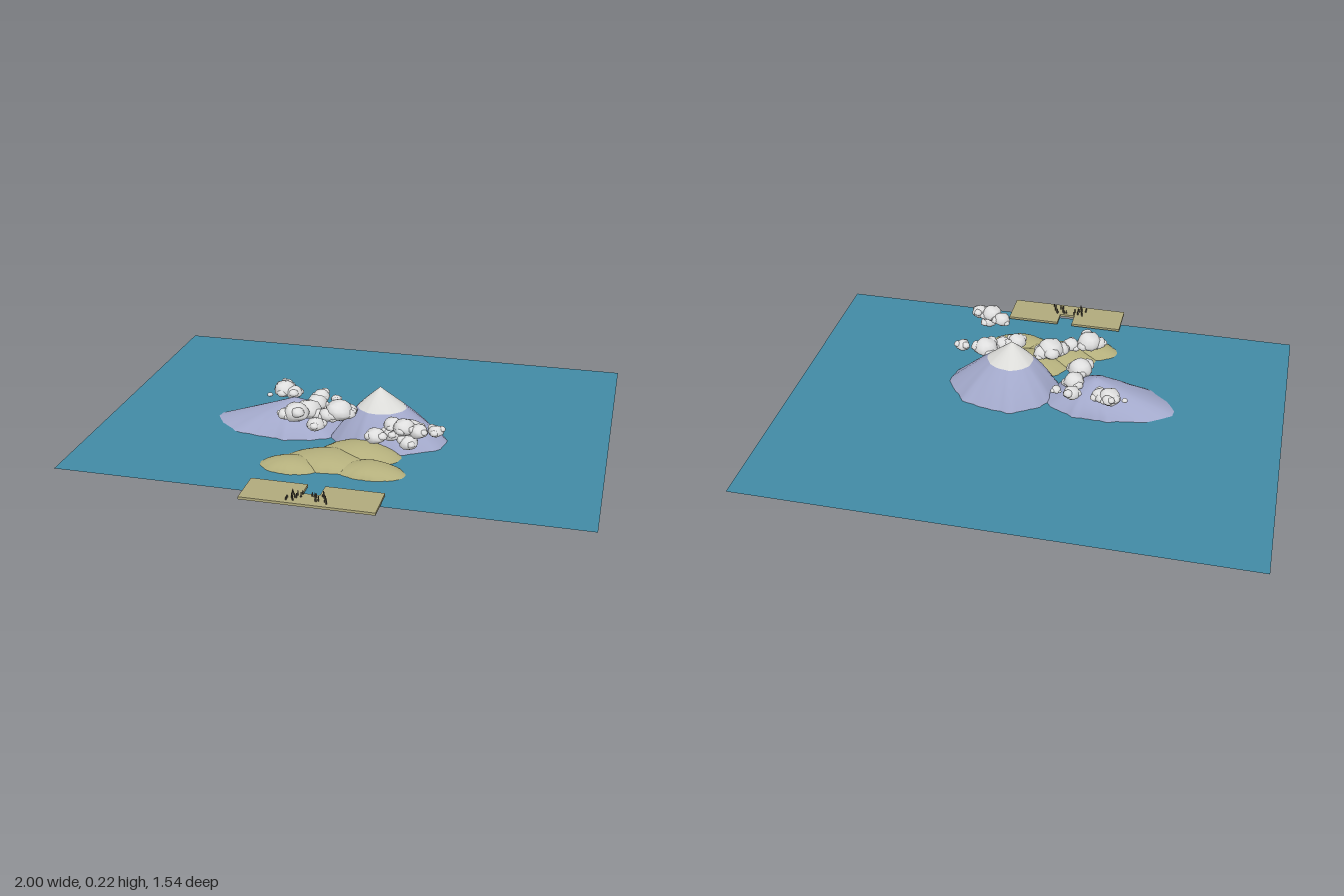
import * as THREE from 'three';
import { mergeVertices, mergeGeometries } from 'three/addons/utils/BufferGeometryUtils.js';

const material = (name, color, side = THREE.FrontSide) => {
  const m = new THREE.MeshStandardMaterial({ color, side });
  m.name = name;
  return m;
};

// small seeded number generator
function seeded(seed) {
  return () => {
    seed = (seed * 16807) % 2147483647;
    return seed / 2147483647;
  };
}

function named(geometry, mat, name) {
  const mesh = new THREE.Mesh(geometry, mat);
  mesh.name = name;
  return mesh;
}

// Radial landform between two fractions of its radius.
// reach = [+x, -x, +z, -z] extents of the foot around the summit.
function landform({ at, height, core, reach, profile, rough, phase }, from = 0, to = 1) {
  let g = new THREE.RingGeometry(from, to, 60, 10);
  g.rotateX(-Math.PI / 2);
  g.deleteAttribute('uv');
  g.deleteAttribute('normal');
  const p = g.attributes.position;
  for (let i = 0; i < p.count; i++) {
    const x = p.getX(i), z = p.getZ(i);
    const r = Math.min(1, Math.hypot(x, z)), a = Math.atan2(z, x);
    const ex = x >= 0 ? reach[0] : reach[1];
    const ez = z >= 0 ? reach[2] : reach[3];
    const foot = 1 / Math.hypot(Math.cos(a) / ex, Math.sin(a) / ez);
    const gully = 1 + rough * r * (0.5 * Math.sin(7 * a + phase) + 0.35 * Math.sin(12 * a + 2 * phase + 2 * r)
      + 0.3 * Math.sin(19 * a + 3 * r));
    const radius = r * (core + (foot - core) * r) * gully;
    p.setXYZ(i, at[0] + Math.cos(a) * radius, height * profile(r), at[1] + Math.sin(a) * radius);
  }
  g = mergeVertices(g, 1e-5);
  g.computeVertexNormals();
  return g;
}

// Lumpy puff with a flattened underside
function puff(x, y, z, r, phase) {
  let g = new THREE.SphereGeometry(r, 12, 8);
  g.deleteAttribute('uv');
  g.deleteAttribute('normal');
  const p = g.attributes.position, v = new THREE.Vector3();
  for (let i = 0; i < p.count; i++) {
    v.fromBufferAttribute(p, i);
    const n = v.clone().divideScalar(r);
    const lump = 1 + 0.07 * Math.sin(4 * n.x + phase) * Math.cos(5 * n.z - phase) + 0.04 * Math.sin(6 * n.y + 3 * n.x);
    v.multiplyScalar(lump);
    v.y *= v.y < 0 ? 0.55 : 0.85;
    p.setXYZ(i, v.x + x, v.y + y, v.z + z);
  }
  g = mergeVertices(g, 1e-5);
  g.computeVertexNormals();
  return g;
}

// Cloud: main puffs, each ringed by smaller ones
function cloud(puffs, seed) {
  const rand = seeded(seed), parts = [];
  for (const [x, y, z, r] of puffs) {
    parts.push(puff(x, y, z, r, rand() * 6));
    const turn = rand() * 6;
    for (let k = 0; k < 3; k++) {
      const a = turn + k * 2.1, s = r * (0.45 + 0.15 * rand());
      parts.push(puff(x + Math.cos(a) * r * 0.7, y + (rand() - 0.45) * r * 0.6, z + Math.sin(a) * r * 0.7, s, rand() * 6));
    }
  }
  return mergeGeometries(parts);
}

export function createModel() {
  const model = new THREE.Group();
  model.name = 'islandScene';
  const water = material('water blue', 0x4189a4, THREE.DoubleSide);
  const rock = material('rock lavender', 0xa3a9cb, THREE.DoubleSide);
  const snow = material('snow', 0xdcdcd9, THREE.DoubleSide);
  const grass = material('hill olive', 0xb4af7c, THREE.DoubleSide);
  const sand = material('shore tan', 0xb0a97c);
  const white = material('cloud white', 0xdedede);
  const dark = material('post brown', 0x5a5446);

  // sea
  const sea = new THREE.PlaneGeometry(2, 1.46);
  sea.rotateX(-Math.PI / 2);
  sea.translate(0, 0, -0.04);
  model.add(named(sea, water, 'sea'));

  // mountains
  const slope = (r) => 1 - 0.82 * r - 0.18 * r ** 3;
  const tall = {
    at: [0.12, 0.13], height: 0.215, core: 0.2, reach: [0.26, 0.19, 0.155, 0.195],
    profile: slope, rough: 0.045, phase: 1,
  };
  const low = {
    at: [-0.24, 0.09], height: 0.118, core: 0.21, reach: [0.21, 0.32, 0.155, 0.13],
    profile: slope, rough: 0.05, phase: 3,
  };
  model.add(named(landform(tall, 0.45, 1), rock, 'tallMountain'));
  model.add(named(landform(tall, 0, 0.45), snow, 'snowCap'));
  model.add(named(landform(low), rock, 'lowMountain'));

  // hills: x, z, height, half width, half depth
  const hills = [
    [0.08, 0.3, 0.047, 0.16, 0.1],
    [-0.02, 0.39, 0.04, 0.17, 0.1],
    [-0.15, 0.455, 0.033, 0.118, 0.075],
    [0.15, 0.435, 0.035, 0.135, 0.075],
  ];
  hills.forEach(([x, z, height, w, d], i) => {
    const hill = landform({
      at: [x, z], height, core: (w + d) / 2, reach: [w, w, d, d],
      profile: (r) => (1 - r * r) ** 0.8, rough: 0.03, phase: i * 2,
    });
    model.add(named(hill, grass, 'hill'));
  });

  // shore slab with a notch on the seaward side
  const outline = [[-0.25, -0.77], [0.25, -0.77], [0.25, -0.62], [0.03, -0.62], [0.03, -0.69],
    [-0.035, -0.69], [-0.035, -0.62], [-0.25, -0.62]];
  const slab = new THREE.ExtrudeGeometry(new THREE.Shape(outline.map(([x, y]) => new THREE.Vector2(x, y))),
    { depth: 0.01, bevelEnabled: false });
  slab.rotateX(-Math.PI / 2);
  slab.translate(0, 0.008, 0);
  model.add(named(slab, sand, 'shore'));

  // little posts on the shore
  const rand = seeded(77), posts = [];
  for (let i = 0; i < 30; i++) {
    const h = 0.008 + 0.013 * rand();
    const post = new THREE.CylinderGeometry(0.0015, 0.003, h, 6);
    const x = i % 2 ? -0.08 + 0.05 * rand() : 0.005 + 0.065 * rand();
    post.translate(x, 0.018 + h / 2, 0.695 + 0.055 * rand());
    posts.push(post);
  }
  model.add(named(mergeGeometries(posts), dark, 'posts'));

  // clouds: x, y, z, radius of each main puff
  const clouds = [
    [[-0.31, 0.1, -0.01, 0.045], [-0.27, 0.095, 0.0, 0.035], [-0.31, 0.11, -0.045, 0.025]],
    [[-0.155, 0.09, 0.0, 0.035], [-0.15, 0.095, 0.08, 0.042], [-0.16, 0.1, 0.165, 0.05], [-0.09, 0.09, 0.01, 0.02]],
    [[-0.02, 0.135, 0.225, 0.055], [-0.06, 0.125, 0.25, 0.035], [0.01, 0.13, 0.2, 0.035]],
    [[-0.17, 0.145, 0.3, 0.05], [-0.21, 0.14, 0.31, 0.03], [-0.09, 0.11, 0.315, 0.035]],
    [[0.145, 0.09, 0.32, 0.04], [0.2, 0.09, 0.29, 0.035], [0.26, 0.095, 0.24, 0.05], [0.36, 0.095, 0.235, 0.03]],
    [[0.22, 0.165, 0.36, 0.035], [0.27, 0.17, 0.39, 0.042], [0.325, 0.165, 0.4, 0.035], [0.29, 0.12, 0.41, 0.035]],
  ];
  clouds.forEach((c, i) => model.add(named(cloud(c, 101 + i * 37), white, 'cloud')));
  model.add(named(puff(-0.37, 0.08, 0.01, 0.012, 1), white, 'cloudWisp'));

  return model;
}
